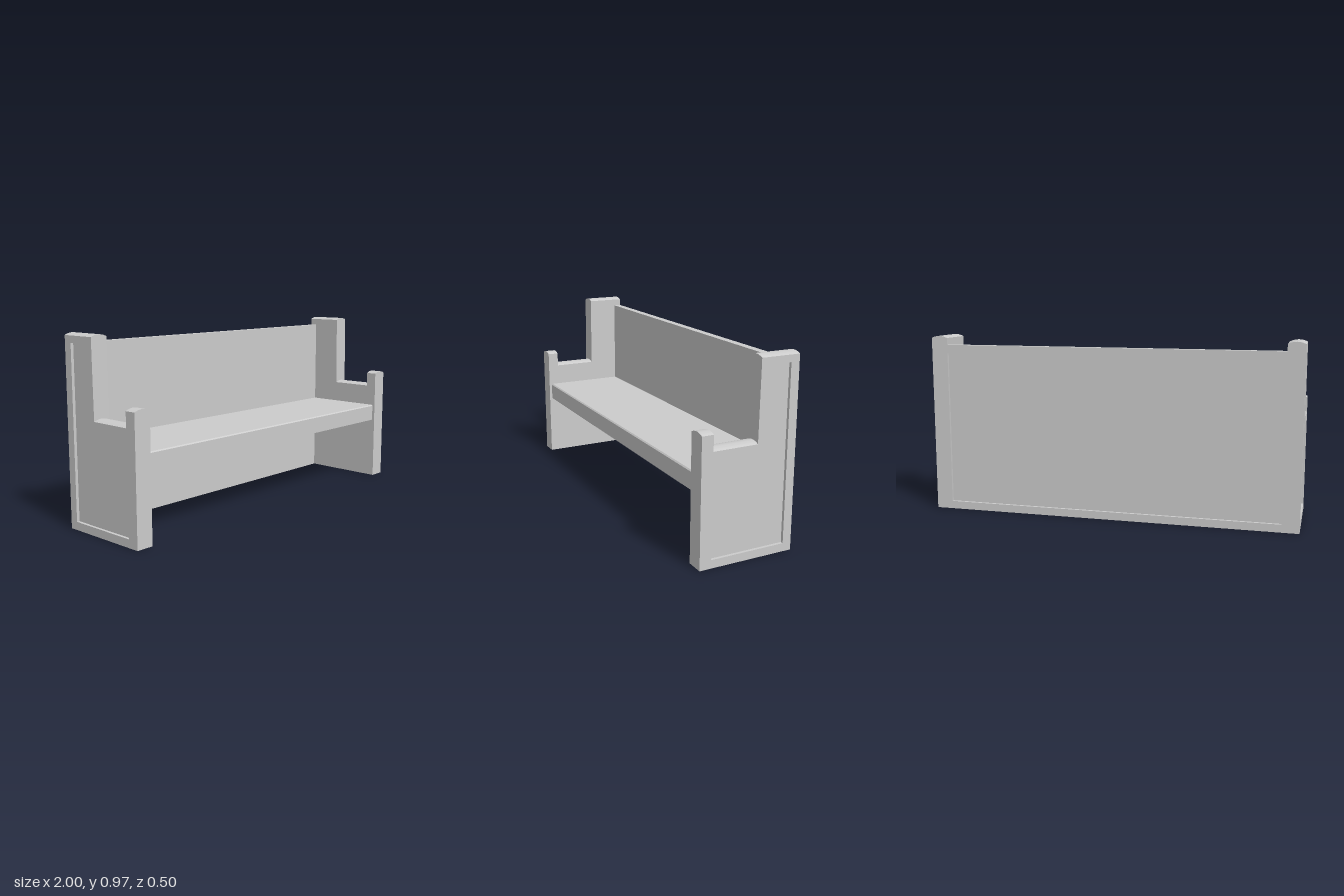
import * as THREE from 'three';
import { toCreasedNormals } from 'three/addons/utils/BufferGeometryUtils.js';

const material = new THREE.MeshStandardMaterial({ color: 0xcccccc });
const points = (list) => list.map(([z, y]) => new THREE.Vector2(z, y));

// Extrudes a (z, y) outline along x, from maxX - depth to maxX
function extrudeAlongX(outline, maxX, depth, steps = 1, hole = null) {
  const shape = new THREE.Shape(points(outline));
  if (hole) shape.holes.push(new THREE.Path(points(hole)));
  const geometry = new THREE.ExtrudeGeometry(shape, { depth, steps, bevelEnabled: false });
  return geometry.rotateY(-Math.PI / 2).translate(maxX, 0, 0);
}

function addMesh(parent, name, geometry) {
  const mesh = new THREE.Mesh(geometry, material);
  mesh.name = name;
  parent.add(mesh);
}

// Heights of the three top edges of a bench end
const ARM = 0.56, POST = 0.638, BACK = 0.955;
const endOutline = [
  [0.25, 0], [0.25, POST], [0.19, POST], [0.19, ARM],
  [-0.042, ARM], [-0.047, BACK], [-0.25, BACK], [-0.25, 0],
];
const endRecess = [
  [0.19, 0.042], [0.19, 0.518], [-0.087, 0.514],
  [-0.087, 0.92], [-0.205, 0.92], [-0.205, 0.042],
];

// Raises the top edges into a shallow crown across the thickness of the end
function crownTops(geometry) {
  const p = geometry.attributes.position;
  for (let i = 0; i < p.count; i++) {
    const y = p.getY(i);
    if (![ARM, POST, BACK].some((top) => Math.abs(y - top) < 1e-4)) continue;
    const t = (Math.abs(p.getX(i)) - 0.955) / 0.045;
    p.setY(i, y + 0.011 * (1 - t * t));
  }
  return toCreasedNormals(geometry, 0.5);
}

export function createModel() {
  const bench = new THREE.Group();
  bench.name = 'bench';

  // Ends: a solid slab with a frame around the sunken outer panel
  for (const side of [1, -1]) {
    const end = new THREE.Group();
    end.name = side > 0 ? 'leftEnd' : 'rightEnd';
    const slabMax = side > 0 ? 0.985 : -0.91;
    const frameMax = side > 0 ? 1 : -0.985;
    addMesh(end, 'endSlab', crownTops(extrudeAlongX(endOutline, slabMax, 0.075, 10)));
    addMesh(end, 'endFrame', crownTops(extrudeAlongX(endOutline, frameMax, 0.015, 2, endRecess)));
    bench.add(end);
  }

  // Back board with a sunken panel between its top and bottom rails
  const backOutline = [
    [-0.21, 0], [-0.21, 0.918], [-0.25, 0.918], [-0.25, 0.87],
    [-0.235, 0.87], [-0.235, 0.042], [-0.25, 0.042], [-0.25, 0],
  ];
  addMesh(bench, 'backBoard', extrudeAlongX(backOutline, 0.91, 1.82));

  // Seat with a slightly eased front edge
  const seatOutline = [
    [-0.21, 0.35], [0.235, 0.35], [0.235, 0.437], [0.229, 0.443], [-0.21, 0.443],
  ];
  addMesh(bench, 'seat', extrudeAlongX(seatOutline, 0.91, 1.82));

  return bench;
}
